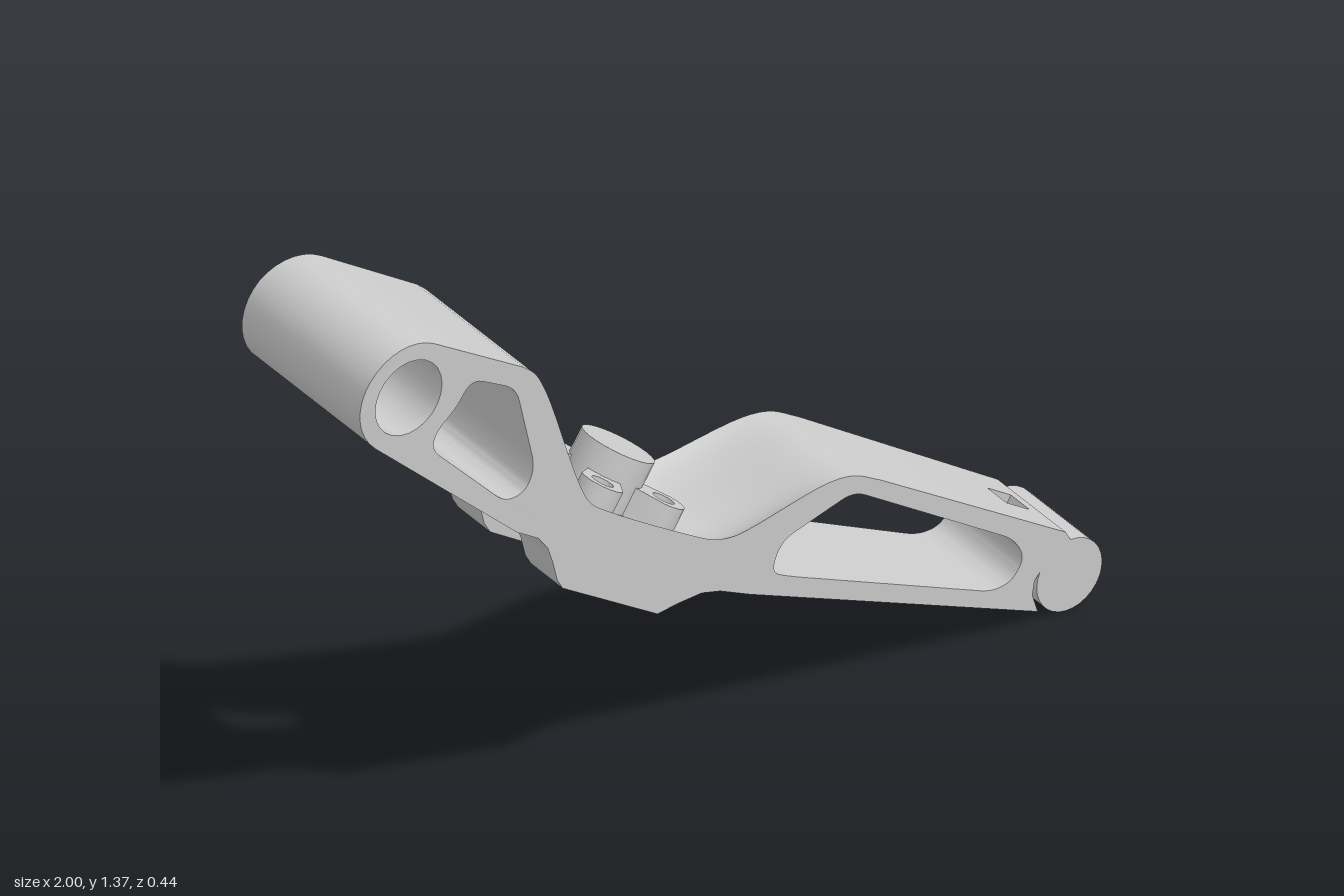
import * as THREE from 'three';
import { mergeGeometries, toCreasedNormals } from 'three/addons/utils/BufferGeometryUtils.js';

const V = (x, y) => new THREE.Vector2(x, y);
const list = (a) => a.map(([x, y]) => V(x, y));
const step = THREE.MathUtils.smoothstep;

// points on an arc, angles in degrees
function arc(cx, cy, r, a0, a1, n) {
  return Array.from({ length: n + 1 }, (_, i) => {
    const a = THREE.MathUtils.degToRad(a0 + ((a1 - a0) * i) / n);
    return V(cx + r * Math.cos(a), cy + r * Math.sin(a));
  });
}

// round every corner of a closed polygon
function soften(pts, r = 0.035) {
  const out = [];
  pts.forEach((p, i) => {
    const toward = (q) => p.clone().lerp(q, Math.min(0.45, r / p.distanceTo(q)));
    const a = toward(pts[(i + pts.length - 1) % pts.length]);
    const b = toward(pts[(i + 1) % pts.length]);
    out.push(...new THREE.QuadraticBezierCurve(a, p, b).getPoints(6));
  });
  return out;
}

// half width of the tapering arm
const halfWidth = (x) => Math.min(0.22, 0.172 - 0.05 * x);

// depth of the dished channel along the upper side
const dishDepth = (x) =>
  0.05 * step(x, -0.53, -0.43) * (1 - 0.45 * step(x, -0.4, -0.25)) * (1 - step(x, 0.1, 0.38));

// the arm's surface and, apart, the side walls of its two slots
function buildArm() {
  // upper edge, with the inward dish vector remembered for each point
  const curve = new THREE.CatmullRomCurve3([
    [-0.56, 1.195], [-0.53, 1.167], [-0.5, 1.11], [-0.41, 0.84], [-0.38, 0.78], [-0.33, 0.738],
    [-0.1, 0.585], [-0.05, 0.557], [0, 0.543], [0.05, 0.545], [0.26, 0.577], [0.33, 0.568], [0.4, 0.53],
  ].map(([x, y]) => new THREE.Vector3(x, y, 0)), false, 'centripetal');
  const key = (x, y) => x.toFixed(3) + ',' + y.toFixed(3);
  const dish = new Map();
  const N = 72;
  const top = [];
  for (let i = 0; i <= N; i++) {
    const p = curve.getPoint(i / N), t = curve.getTangent(i / N), d = dishDepth(p.x);
    dish.set(key(p.x, p.y), [t.y * d, -t.x * d]);
    top.push(V(p.x, p.y));
  }

  // move a flat point to its place at fraction t of the half width
  const place = (pos, i, t) => {
    const x = pos.getX(i), y = pos.getY(i);
    const [dx, dy] = dish.get(key(x, y)) || [0, 0];
    const k = 1 - t ** 4;
    pos.setXYZ(i, x + dx * k, y + dy * k, t * halfWidth(x));
  };

  const hinge = arc(-0.87, 1.24, 0.13, 226, 57, 16);
  const knob = [V(0.9, 0.2), ...arc(0.91, 0.088, 0.088, 88, -206, 24),
    ...list([[0.816, 0.11], [0.81, 0.075], [0.825, 0.028]])];
  const notch = list([[0.81, 0.2594], [0.79, 0.18], [0.84, 0.165], [0.87, 0.2198]]);
  const bottom = list([[0.05, 0.378], [-0.03, 0.418], [-0.08, 0.433], [-0.14, 0.432], [-0.2, 0.427],
    [-0.455, 0.593], [-0.47, 0.62], [-0.482, 0.67], [-0.495, 0.71], [-0.52, 0.745], [-0.58, 0.785]]);
  const slotFoot = [V(-0.375, 0.5409), V(-0.505, 0.7238)];

  const bore = arc(-0.87, 1.24, 0.09, 0, 345, 23);
  const upperWindow = soften(list([[-0.61, 0.873], [-0.555, 0.878], [-0.53, 0.93], [-0.58, 1.15],
    [-0.7, 1.22], [-0.745, 1.16], [-0.79, 1.13], [-0.81, 1.085]]));
  const lowerWindow = soften(list([[0.16, 0.38], [0.7, 0.128], [0.755, 0.133], [0.79, 0.18],
    [0.76, 0.238], [0.33, 0.528], [0.135, 0.48], [0.105, 0.41]]));

  const shape = (pts, holes) => {
    const s = new THREE.Shape(pts);
    s.holes = holes.map((h) => new THREE.Path(h));
    return s;
  };
  const whole = shape([...top, ...knob, ...bottom, ...hinge], [bore, upperWindow, lowerWindow]);
  // pieces either side of the through slot
  const upperPiece = shape([...top.filter((p) => p.x < -0.415), slotFoot[1],
    ...bottom.filter((p) => p.x < -0.51), ...hinge], [bore, upperWindow]);
  const lowerPiece = (extra) => shape([...top.filter((p) => p.x > -0.357), ...extra, ...knob,
    ...bottom.filter((p) => p.x > -0.3), slotFoot[0]], [lowerWindow]);

  // slabs across the width, in fractions of the half width
  const slabs = [
    [-1, -0.39, 6, [whole]],
    [-0.39, -0.27, 1, [upperPiece, lowerPiece([])]],
    [-0.27, 0.27, 3, [upperPiece, lowerPiece(notch)]],
    [0.27, 0.39, 1, [upperPiece, lowerPiece([])]],
    [0.39, 1, 6, [whole]],
  ];
  const parts = [];
  for (const [t0, t1, steps, shapes] of slabs) {
    for (const s of shapes) {
      const g = new THREE.ExtrudeGeometry(s, { depth: t1 - t0, steps, bevelEnabled: false });
      const pos = g.attributes.position;
      const caps = g.groups[0].count;
      const kept = [];
      for (let i = 0; i < pos.count; i += 3) {
        // flat faces are wanted only on the two outer sides
        if (i < caps && Math.abs(pos.getZ(i) + t0) < 0.99) continue;
        for (let j = i; j < i + 3; j++) {
          place(pos, j, pos.getZ(j) + t0);
          kept.push(pos.getX(j), pos.getY(j), pos.getZ(j));
        }
      }
      parts.push(new THREE.BufferGeometry()
        .setAttribute('position', new THREE.Float32BufferAttribute(kept, 3)));
    }
  }

  const slotSide = new THREE.Shape([...top.filter((p) => p.x > -0.44 && p.x < -0.34), slotFoot[0],
    ...bottom.filter((p) => p.x < -0.4 && p.x > -0.5), slotFoot[1]]);
  const walls = [];
  for (const [s, t] of [[slotSide, 0.39], [new THREE.Shape(notch), 0.27]]) {
    for (const side of [-t, t]) {
      const g = new THREE.ShapeGeometry(s);
      for (let i = 0; i < g.attributes.position.count; i++) place(g.attributes.position, i, side);
      walls.push(g);
    }
  }
  return { body: toCreasedNormals(mergeGeometries(parts), 0.4), walls: mergeGeometries(walls) };
}

export function createModel() {
  const group = new THREE.Group();
  const material = new THREE.MeshStandardMaterial({ color: 0xcccccc });
  const thin = new THREE.MeshStandardMaterial({ color: 0xcccccc, side: THREE.DoubleSide });
  const add = (parent, name, geometry, mat = material) => {
    const m = new THREE.Mesh(geometry, mat);
    m.name = name;
    parent.add(m);
    return m;
  };

  const { body, walls } = buildArm();
  add(group, 'arm', body);
  add(group, 'slotWalls', walls, thin);

  // four-lobed mount, its local y standing square to the sloping seat
  const mount = new THREE.Group();
  mount.name = 'mount';
  mount.position.set(-0.207, 0.702, 0);
  mount.rotation.z = -0.57;
  group.add(mount);
  add(mount, 'boss', new THREE.CylinderGeometry(0.087, 0.087, 0.17, 24)).position.y = -0.025;

  const reach = Math.hypot(0.094, 0.102);
  const lobe = new THREE.Shape([V(0, -0.035), V(reach - 0.05, -0.04),
    ...arc(reach, 0, 0.05, -80, 80, 12), V(reach - 0.05, 0.04), V(0, 0.035)]);
  lobe.holes.push(new THREE.Path(arc(reach, 0, 0.026, 0, 337.5, 15)));
  const lobeGeometry = toCreasedNormals(
    new THREE.ExtrudeGeometry(lobe, { depth: 0.11, bevelEnabled: false })
      .rotateX(-Math.PI / 2).translate(0, -0.11, 0), 0.6);
  const angle = Math.atan2(0.102, 0.094);
  for (const a of [angle, -angle, Math.PI - angle, Math.PI + angle]) {
    add(mount, 'mountLobe', lobeGeometry).rotation.y = a;
  }
  return group;
}
